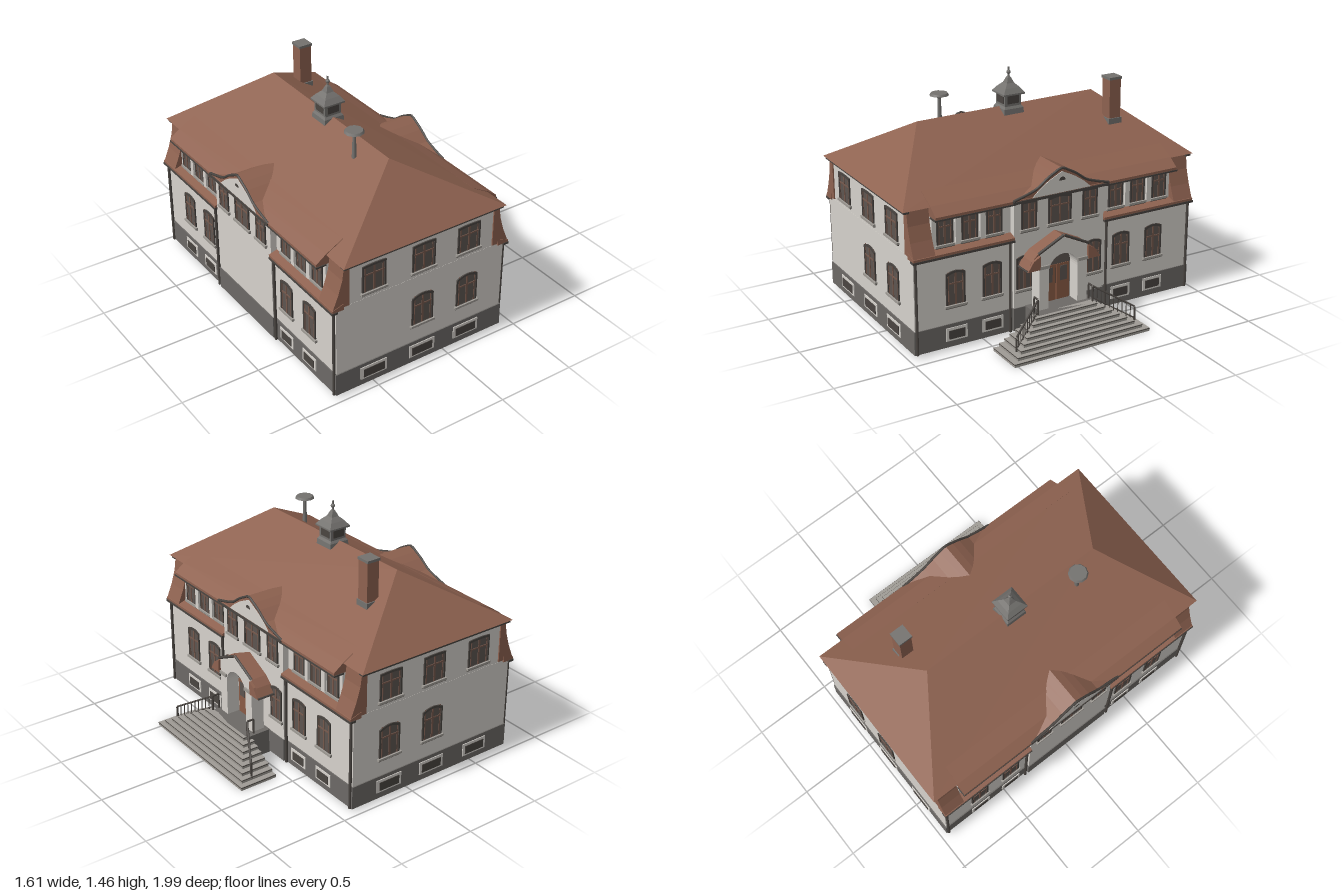
import * as THREE from 'three';

const mat = (name, color, side = THREE.FrontSide) => {
  const m = new THREE.MeshStandardMaterial({ color, side });
  m.name = name;
  return m;
};

export function createModel() {
  const M = {
    wall: mat('plaster', 0xd6d2cc), plinth: mat('plinth grey', 0x6c6966),
    roof: mat('roof tile', 0x8e6250, THREE.DoubleSide), trim: mat('dark trim', 0x4a4541),
    glass: mat('window glass', 0x5d5550), frame: mat('window wood', 0x76594d),
    door: mat('door wood', 0x8a5b45), step: mat('step stone', 0x9f9b95), metal: mat('metal grey', 0x74726f),
  };
  const CX = -0.175;
  const model = new THREE.Group();
  model.name = 'house';

  const add = (parent, name, geo, m) => {
    const mesh = new THREE.Mesh(geo, m);
    mesh.name = name;
    parent.add(mesh);
    return mesh;
  };
  const group = (parent, name, x = 0, y = 0, z = 0, ry = 0) => {
    const g = new THREE.Group();
    g.name = name;
    g.position.set(x, y, z);
    g.rotation.y = ry;
    parent.add(g);
    return g;
  };
  // box given by its limits on each axis
  const box = (parent, name, m, x0, x1, y0, y1, z0, z1) =>
    add(parent, name, new THREE.BoxGeometry(x1 - x0, y1 - y0, z1 - z0)
      .translate((x0 + x1) / 2, (y0 + y1) / 2, (z0 + z1) / 2), m);
  const poly = (pts) => new THREE.Shape(pts.map(([x, y]) => new THREE.Vector2(x, y)));
  const prism = (parent, name, m, shape, z0, z1) =>
    add(parent, name, new THREE.ExtrudeGeometry(shape, { depth: z1 - z0, bevelEnabled: false, curveSegments: 10 })
      .translate(0, 0, z0), m);
  const rod = (parent, name, m, a, b, r) => {
    const path = new THREE.LineCurve3(new THREE.Vector3(...a), new THREE.Vector3(...b));
    return add(parent, name, new THREE.TubeGeometry(path, 1, r, 6), m);
  };
  const flat = (geo) => {
    const g = geo.index ? geo.toNonIndexed() : geo;
    g.computeVertexNormals();
    return g;
  };

  // opening outline with a slightly arched head
  const opening = (Kind, w, h, rise) => {
    const s = new Kind();
    s.moveTo(-w / 2, 0);
    s.lineTo(w / 2, 0);
    s.lineTo(w / 2, h - rise);
    s.quadraticCurveTo(0, h + rise, -w / 2, h - rise);
    s.lineTo(-w / 2, 0);
    return s;
  };
  // window facing local +z
  const windowAt = (parent, x, y, z, w, h, rise = 0) => {
    const g = group(parent, 'window', x, y, z);
    prism(g, 'pane', M.glass, opening(THREE.Shape, w, h, rise), 0, 0.003);
    const ring = opening(THREE.Shape, w + 0.01, h + 0.006, rise);
    ring.holes.push(opening(THREE.Path, w - 0.012, h - 0.008, rise));
    prism(g, 'surround', M.trim, ring, 0, 0.008);
    box(g, 'mullion', M.frame, -0.006, 0.006, 0, h, 0.002, 0.007);
    box(g, 'transom', M.frame, -w / 2, w / 2, h * 0.62, h * 0.62 + 0.009, 0.002, 0.007);
    for (const s of [-1, 1]) box(g, 'casement', M.frame, s * w * 0.4 - 0.003, s * w * 0.4 + 0.003, 0, h, 0.002, 0.006);
    box(g, 'sill', M.step, -w / 2 - 0.015, w / 2 + 0.015, -0.016, -0.002, 0, 0.016);
    box(g, 'sillShadow', M.trim, -w / 2 - 0.012, w / 2 + 0.012, -0.022, -0.016, 0, 0.01);
  };
  const cellarWindow = (parent, x, z, w) => {
    const g = group(parent, 'cellarWindow', x, 0.06, z);
    box(g, 'surround', M.wall, -w / 2 - 0.01, w / 2 + 0.01, 0, 0.082, 0, 0.005);
    box(g, 'pane', M.trim, -w / 2 + 0.008, w / 2 - 0.008, 0.012, 0.066, 0, 0.009);
  };

  // main body
  const body = group(model, 'body', CX);
  box(body, 'plinth', M.plinth, -0.592, 0.592, 0.02, 0.165, -0.962, 0.962);
  box(body, 'lowerWalls', M.wall, -0.585, 0.585, 0.16, 0.615, -0.955, 0.955);
  box(body, 'upperWalls', M.wall, -0.52, 0.52, 0.61, 0.9, -0.954, 0.954);
  box(body, 'dormerWalls', M.wall, -0.56, 0.56, 0.61, 0.85, -0.82, 0.82);

  // hipped roof
  const E = [[-0.56, 0.895, 0.995], [0.56, 0.895, 0.995], [0.56, 0.895, -0.995], [-0.56, 0.895, -0.995]];
  const R = [[0, 1.21, 0.62], [0, 1.225, -0.6]];
  const tris = [[E[0], E[1], R[0]], [E[1], E[2], R[1]], [E[1], R[1], R[0]], [E[2], E[3], R[1]],
    [E[3], E[0], R[0]], [E[3], R[0], R[1]], [E[0], E[2], E[1]], [E[0], E[3], E[2]]];
  const roofGeo = new THREE.BufferGeometry();
  roofGeo.setAttribute('position', new THREE.Float32BufferAttribute(tris.flat(2), 3));
  add(body, 'hippedRoof', flat(roofGeo), M.roof);

  // gable ends
  for (const s of [1, -1]) {
    const end = group(body, s > 0 ? 'frontEnd' : 'backEnd', 0, 0, 0, s > 0 ? 0 : Math.PI);
    box(end, 'eaveCornice', M.trim, -0.55, 0.55, 0.878, 0.896, 0.95, 0.985);
    for (const x of [-0.51, -0.17, 0.15]) {
      const u = s * (x - CX);
      windowAt(end, u, 0.66, 0.954, 0.15, 0.17, 0.004);
      if (x > -0.4) windowAt(end, u, 0.287, 0.955, 0.14, 0.2, 0.02);
      cellarWindow(end, u, 0.962, 0.16);
    }
  }

  // curved pediment line over the middle bay
  const half = [[0.33, 0.85], [0.25, 0.872], [0.17, 0.9], [0.1, 0.95], [0.05, 0.978], [0, 1.0]];
  const line = [...half, ...half.slice(0, -1).reverse().map(([x, y]) => [-x, y])];
  const pedimentShape = poly([...line, [-0.33, 0.835], [0.33, 0.835]]);

  // long sides, local +x pointing outward
  for (const s of [1, -1]) {
    const side = group(body, s > 0 ? 'entranceSide' : 'gardenSide', 0, 0, 0, s > 0 ? 0 : Math.PI);
    const face = group(side, 'sideOpenings', 0, 0, 0, Math.PI / 2);
    const dormerRoof = poly([[0.45, 0.96], [0.56, 0.9], [0.625, 0.853], [0.625, 0.836], [0.45, 0.836]]);
    prism(side, 'dormerRoof', M.roof, dormerRoof, -0.825, 0.825);
    const mansard = poly([[0.5, 0.897], [0.535, 0.897], [0.548, 0.8], [0.575, 0.71], [0.612, 0.62], [0.5, 0.62]]);
    const ledge = poly([[0.54, 0.645], [0.615, 0.622], [0.615, 0.606], [0.54, 0.606]]);
    for (const t of [-1, 1]) {
      const span = (a, b) => (t > 0 ? [a, b] : [-b, -a]);
      prism(side, 'mansardCorner', M.roof, mansard, ...span(0.825, 0.962));
      prism(side, 'eaveLedge', M.roof, ledge, ...span(0.31, 0.965));
      box(side, 'ledgeGutter', M.trim, 0.58, 0.618, 0.594, 0.608, ...span(0.31, 0.968));
      box(side, 'roofGutter', M.trim, 0.56, 0.628, 0.828, 0.838, ...span(0.31, 0.83));
      for (const [z, x] of [[0.335, 0.6], [0.945, 0.595]])
        rod(side, 'downpipe', M.trim, [x, 0.02, t * z], [x, 0.6, t * z], 0.009);
      for (const z of [0.42, 0.58, 0.74]) windowAt(face, t * z, 0.66, 0.56, 0.095, 0.165);
      for (const z of [0.5, 0.66]) box(side, 'dormerPost', M.wall, 0.555, 0.575, 0.645, 0.83, t * z - 0.016, t * z + 0.016);
      for (const z of [0.45, 0.69]) {
        windowAt(face, t * z, 0.285, 0.585, 0.115, 0.205, 0.015);
        cellarWindow(face, t * z, 0.592, 0.12);
      }
      windowAt(face, t * 0.21, 0.66, 0.6, 0.095, 0.165);
      if (s > 0) windowAt(face, t * 0.24, 0.285, 0.6, 0.1, 0.205, 0.015);
    }
    // middle bay and pediment
    box(side, 'bayWall', M.wall, 0.4, 0.6, 0.16, 0.85, -0.31, 0.31);
    box(side, 'bayPlinth', M.plinth, 0.4, 0.606, 0.02, 0.165, -0.315, 0.315);
    windowAt(face, 0, 0.66, 0.6, 0.15, 0.165, 0.01);
    prism(face, 'pedimentRoof', M.roof, pedimentShape, 0, 0.622);
    prism(face, 'tympanum', M.wall, poly([[-0.2, 0.85], [0.2, 0.85], [0.15, 0.895], [0.09, 0.935], [0, 0.98], [-0.09, 0.935], [-0.15, 0.895]]), 0.618, 0.626);
    add(face, 'pedimentVent', new THREE.CircleGeometry(0.022, 16, 0, Math.PI).translate(0, 0.925, 0.629), M.trim);
    const rim = new THREE.CatmullRomCurve3(line.map(([x, y]) => new THREE.Vector3(x, y, 0.622)));
    add(face, 'pedimentRim', new THREE.TubeGeometry(rim, 30, 0.008, 6), M.trim);
    box(face, 'bayCornice', M.trim, -0.33, 0.33, 0.832, 0.848, 0.58, 0.63);
  }

  // chimney
  const chimney = group(model, 'chimney', 0.043, 0, -0.61);
  box(chimney, 'chimneyStack', M.roof, -0.041, 0.041, 1.04, 1.35, -0.04, 0.04);
  box(chimney, 'chimneyCap', M.metal, -0.045, 0.045, 1.35, 1.366, -0.045, 0.045);
  box(chimney, 'chimneyFlashing', M.metal, -0.047, 0.047, 1.03, 1.105, -0.047, 0.047);

  // roof turret with bell-shaped cap
  const turret = group(model, 'turret', CX + 0.005, 0, 0);
  const square = (pts) => flat(new THREE.LatheGeometry(pts.map(([r, y]) => new THREE.Vector2(r * Math.SQRT2, y)), 4).rotateY(Math.PI / 4));
  add(turret, 'turretBody', square([[0.07, 1.16], [0.066, 1.21], [0.056, 1.225], [0.056, 1.31]]), M.metal);
  add(turret, 'turretCap', square([[0, 1.295], [0.073, 1.295], [0.073, 1.305], [0.05, 1.335], [0.025, 1.36], [0.012, 1.39], [0, 1.41]]), M.metal);
  for (let i = 0; i < 4; i++) {
    const g = group(turret, 'louvre', 0, 0, 0, i * Math.PI / 2);
    box(g, 'louvrePanel', M.trim, -0.04, 0.04, 1.24, 1.29, 0.054, 0.059);
  }
  rod(turret, 'spike', M.metal, [0, 1.38, 0], [0, 1.46, 0], 0.006);
  add(turret, 'finial', new THREE.SphereGeometry(0.013, 10, 8).translate(0, 1.425, 0), M.metal);

  // roof siren
  const siren = group(model, 'siren', -0.272, 0, 0.42);
  add(siren, 'sirenPole', new THREE.CylinderGeometry(0.009, 0.016, 0.2, 8).translate(0, 1.215, 0), M.metal);
  add(siren, 'sirenCone', new THREE.CylinderGeometry(0.03, 0.01, 0.02, 10).translate(0, 1.307, 0), M.metal);
  add(siren, 'sirenHood', new THREE.CylinderGeometry(0.052, 0.06, 0.014, 10).translate(0, 1.324, 0), M.metal);

  // entrance porch, local +z pointing outward
  const porch = group(model, 'porch', 0.41, 0, 0.035, Math.PI / 2);
  const arch = new THREE.Shape();
  arch.moveTo(-0.165, 0.165);
  arch.lineTo(-0.1, 0.165);
  arch.lineTo(-0.1, 0.4);
  arch.absarc(0, 0.4, 0.1, Math.PI, 0, true);
  arch.lineTo(0.1, 0.165);
  arch.lineTo(0.165, 0.165);
  arch.lineTo(0.165, 0.525);
  arch.lineTo(0, 0.605);
  arch.lineTo(-0.165, 0.525);
  prism(porch, 'porchFront', M.wall, arch, 0.035, 0.12);
  prism(porch, 'porchRoof', M.roof, poly([[0.25, 0.435], [0.215, 0.49], [0.17, 0.53], [0, 0.612], [-0.17, 0.53], [-0.215, 0.49], [-0.25, 0.435], [-0.165, 0.435], [-0.13, 0.52], [0.13, 0.52], [0.165, 0.435]]), 0, 0.117);
  for (const s of [-1, 1]) {
    rod(porch, 'gableTrim', M.trim, [s * 0.175, 0.53, 0.122], [0, 0.617, 0.122], 0.009);
    box(porch, 'pillarCapital', M.step, s * 0.135 - 0.037, s * 0.135 + 0.037, 0.43, 0.45, 0.03, 0.13);
    rod(porch, 'porchEave', M.trim, [s * 0.25, 0.437, 0], [s * 0.25, 0.437, 0.135], 0.007);
    prism(porch, 'eaveHip', M.roof, poly([[s * 0.165, 0.435], [s * 0.25, 0.435], [s * 0.21, 0.495], [s * 0.165, 0.52]]), 0.11, 0.135);
    // door leaves and panes
    box(porch, 'doorLeaf', M.door, s * 0.047 - 0.044, s * 0.047 + 0.044, 0.17, 0.4, 0.03, 0.04);
    box(porch, 'doorPane', M.glass, s * 0.05 - 0.024, s * 0.05 + 0.024, 0.29, 0.385, 0.038, 0.044);
  }
  box(porch, 'doorBack', M.trim, -0.1, 0.1, 0.165, 0.4, 0.0, 0.032);
  add(porch, 'fanlight', new THREE.CircleGeometry(0.1, 20, 0, Math.PI).translate(0, 0.4, 0.037), M.glass);
  box(porch, 'podium', M.plinth, -0.2, 0.2, 0.01, 0.168, -0.02, 0.18);

  // flared entrance steps
  const stairs = group(model, 'stairs', 0, 0, 0.058);
  for (let i = 0; i < 8; i++) {
    const h = 0.465 - i * 0.036;
    box(stairs, 'step', M.step, 0.555, 0.8 - i * 0.027, i * 0.021, (i + 1) * 0.021, -h, h);
    box(stairs, 'stepNosing', M.trim, 0.556, 0.802 - i * 0.027, (i + 1) * 0.021 - 0.006, (i + 1) * 0.021 - 0.002, -h - 0.002, h + 0.002);
  }

  // railings following the flare
  for (const s of [-1, 1]) {
    const rail = group(model, 'railing', 0, 0, 0.045);
    const at = (t, up) => [0.575 + 0.125 * t, 0.165 - 0.135 * t + up, s * (0.19 + 0.22 * t)];
    for (const up of [0.1, 0.025]) rod(rail, 'handrail', M.trim, at(0, up), at(1, up), up > 0.05 ? 0.006 : 0.004);
    for (let i = 0; i <= 10; i++) rod(rail, 'baluster', M.trim, at(i / 10, 0), at(i / 10, 0.1), i % 10 ? 0.003 : 0.007);
    rod(rail, 'landingRail', M.trim, [0.53, 0.265, s * 0.19], at(0, 0.1), 0.006);
    rod(rail, 'landingPost', M.trim, [0.53, 0.165, s * 0.19], [0.53, 0.265, s * 0.19], 0.006);
  }
  return model;
}
